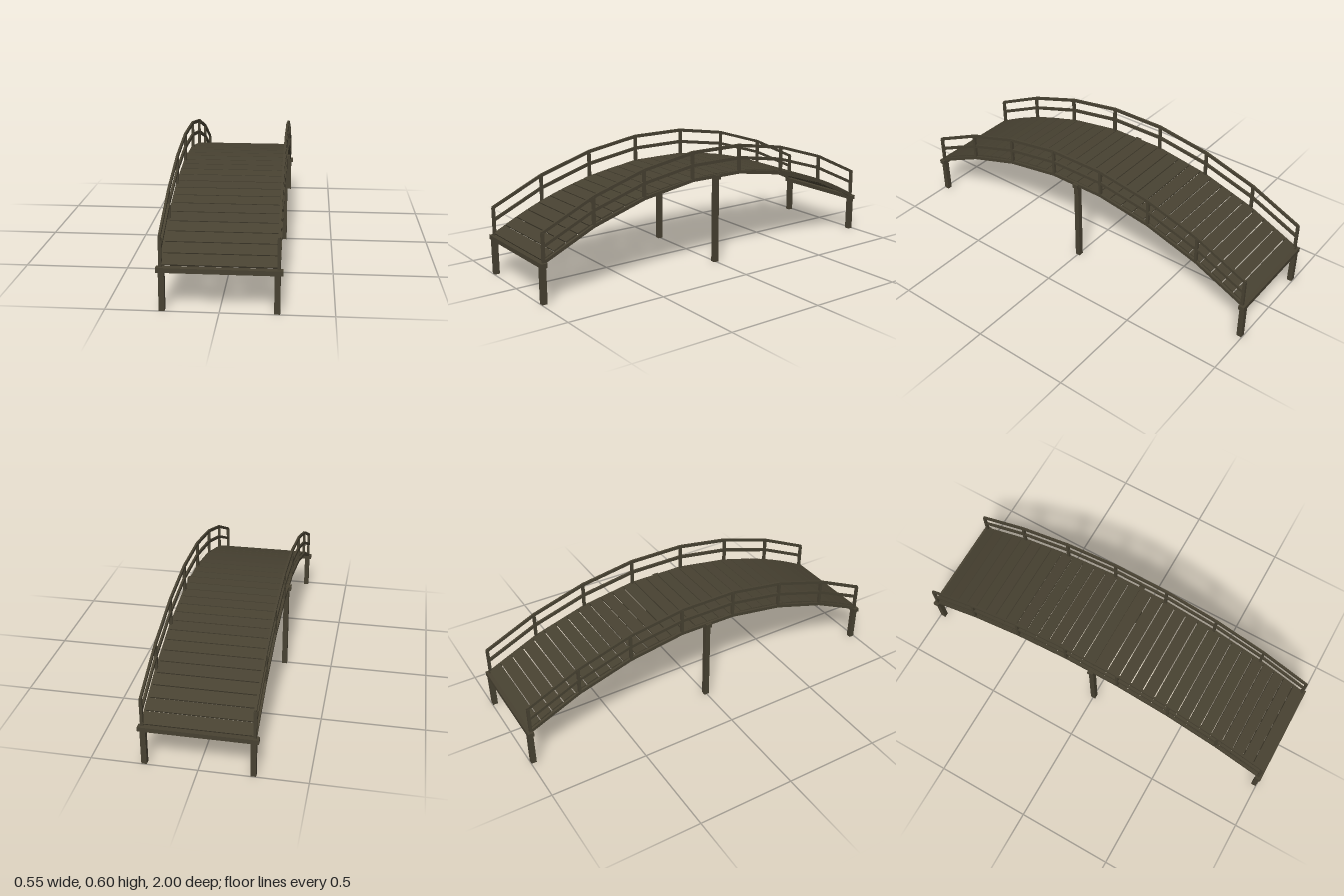
import * as THREE from 'three';

const wood = new THREE.MeshStandardMaterial({ color: 0x474131 });
wood.name = 'weathered wood';

// Half of the arched side line (z, y), mirrored to run the full length
const half = [[0.148, 0.454], [0.435, 0.408], [0.715, 0.322], [0.98, 0.197]];
const stations = [...half.map(([z, y]) => [-z, y]).reverse(), ...half];

function box(parent, name, w, h, d, x, y, z) {
  const mesh = new THREE.Mesh(new THREE.BoxGeometry(w, h, d), wood);
  mesh.name = name;
  mesh.position.set(x, y, z);
  parent.add(mesh);
  return mesh;
}

// Mitred beam that follows the side line at a given height above it
function archedBeam(parent, name, x, lift, height, width) {
  const low = stations.map(([z, y]) => new THREE.Vector2(z, y + lift - height / 2));
  const high = stations.map(([z, y]) => new THREE.Vector2(z, y + lift + height / 2));
  for (const edge of [low, high]) {
    edge[0].x -= 0.006;
    edge[edge.length - 1].x += 0.006;
  }
  const geometry = new THREE.ExtrudeGeometry(new THREE.Shape([...low, ...high.reverse()]), {
    depth: width, bevelEnabled: false,
  });
  geometry.translate(0, 0, -width / 2);
  geometry.rotateY(-Math.PI / 2);
  const mesh = new THREE.Mesh(geometry, wood);
  mesh.name = name;
  mesh.position.x = x;
  parent.add(mesh);
}

export function createModel() {
  const bridge = new THREE.Group();
  bridge.name = 'archedFootbridge';

  // Deck planks laid around a circular arc
  const deck = new THREE.Group();
  deck.name = 'deck';
  bridge.add(deck);
  const radius = 2.016, crown = 0.466, thickness = 0.008;
  const planks = 30, pitch = 0.0687;
  for (let i = 0; i < planks; i++) {
    const angle = ((i - (planks - 1) / 2) * pitch) / radius;
    const r = radius - thickness / 2;
    const plank = box(deck, 'plank', 0.5, thickness, pitch - 0.005,
      0, crown - radius + r * Math.cos(angle), r * Math.sin(angle));
    plank.rotation.x = angle;
  }

  // Side stringers, rails and railing posts
  for (const side of [-1, 1]) {
    const railing = new THREE.Group();
    railing.name = side > 0 ? 'leftRailing' : 'rightRailing';
    bridge.add(railing);
    const x = side * 0.255;
    archedBeam(railing, 'stringer', x, 0, 0.017, 0.014);
    archedBeam(railing, 'middleRail', x, 0.074, 0.016, 0.011);
    archedBeam(railing, 'topRail', x, 0.138, 0.016, 0.011);
    for (const [z, y] of stations) {
      box(railing, 'railingPost', 0.014, 0.142, 0.014, x, y + 0.067, z);
    }
  }

  // Support frames: two legs under a cross beam
  for (const [z, top] of [[-0.985, 0.198], [0, 0.46], [0.985, 0.198]]) {
    const frame = new THREE.Group();
    frame.name = 'supportFrame';
    bridge.add(frame);
    box(frame, 'crossBeam', 0.548, 0.022, 0.03, 0, top - 0.011, z);
    for (const side of [-1, 1]) {
      box(frame, 'leg', 0.026, top - 0.022, 0.026, side * 0.25, (top - 0.022) / 2, z);
    }
  }
  return bridge;
}
